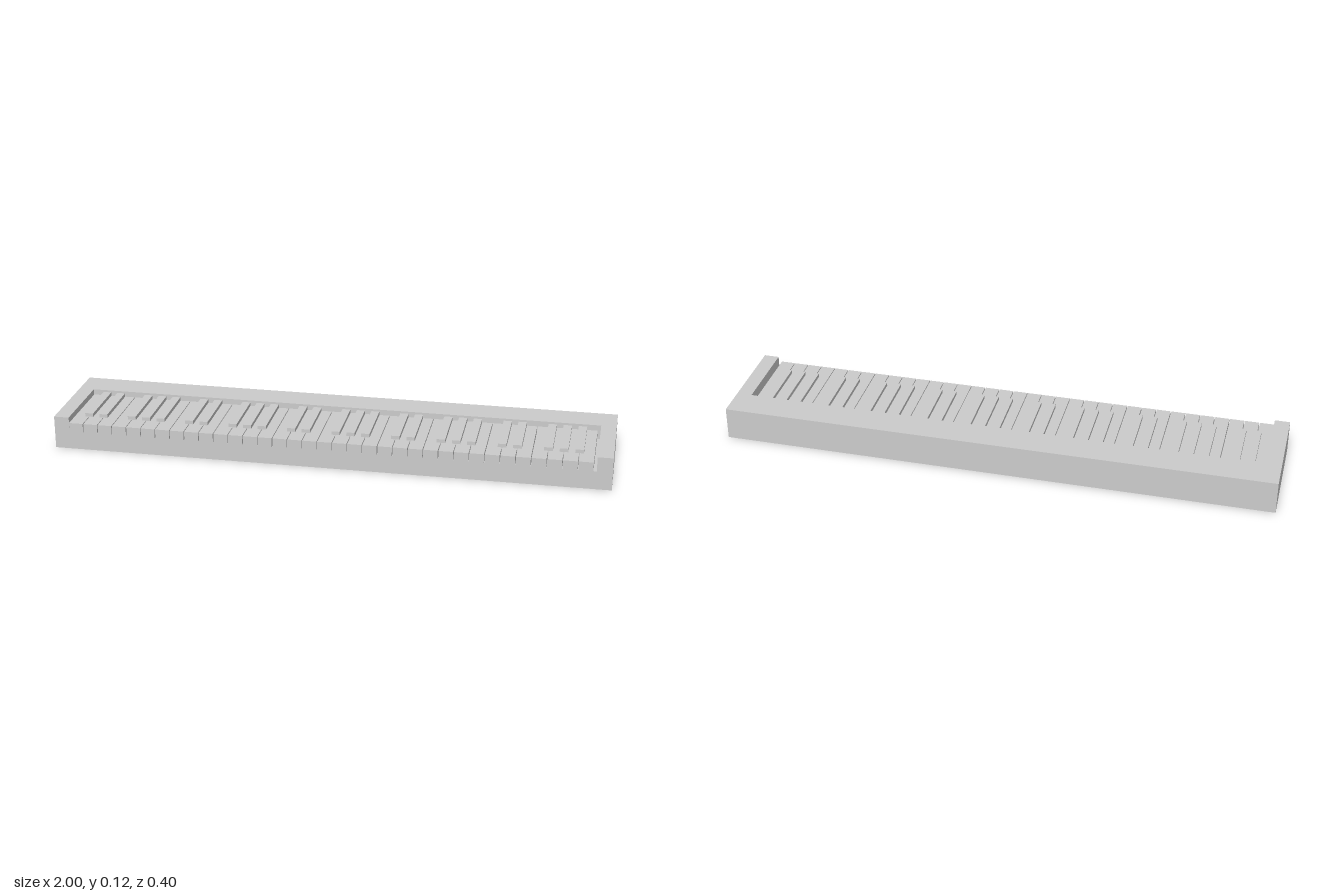
import * as THREE from 'three';

const material = new THREE.MeshStandardMaterial({ color: 0xcccccc });

// Box given by its minimum and maximum corners
function box(name, [x0, y0, z0], [x1, y1, z1]) {
  const mesh = new THREE.Mesh(new THREE.BoxGeometry(x1 - x0, y1 - y0, z1 - z0), material);
  mesh.position.set((x0 + x1) / 2, (y0 + y1) / 2, (z0 + z1) / 2);
  mesh.name = name;
  return mesh;
}

export function createModel() {
  const group = new THREE.Group();
  group.name = 'keyboard';
  const floor = 0.067, top = 0.12, recessX = 0.945, recessBack = -0.085;

  // Case: solid base with a U-shaped rim open to the front
  group.add(box('caseBase', [-1, 0, -0.2], [1, floor, 0.2]));
  const plan = new THREE.Shape([
    [-1, -0.2], [-recessX, -0.2], [-recessX, -recessBack], [recessX, -recessBack],
    [recessX, -0.2], [1, -0.2], [1, 0.2], [-1, 0.2],
  ].map(([x, y]) => new THREE.Vector2(x, y)));
  const rimGeometry = new THREE.ExtrudeGeometry(plan, { depth: top - floor, bevelEnabled: false });
  rimGeometry.rotateX(-Math.PI / 2);
  const rim = new THREE.Mesh(rimGeometry, material);
  rim.name = 'caseRim';
  rim.position.y = floor;
  group.add(rim);

  // Keys: five octaves, with short keys over the seams of the long ones
  const whiteKeys = new THREE.Group();
  whiteKeys.name = 'whiteKeys';
  const blackKeys = new THREE.Group();
  blackKeys.name = 'blackKeys';
  group.add(whiteKeys, blackKeys);

  const count = 35, startX = -0.944, pitch = 1.88 / count, gap = 0.0025;
  const keyBack = -0.083, keyTop = 0.1;
  for (let i = 0; i < count; i++) {
    const x = startX + i * pitch;
    whiteKeys.add(box('whiteKey', [x, floor, keyBack], [x + pitch - gap, keyTop, 0.202]));
    if ([0, 1, 3, 4, 5].includes(i % 7)) {
      const seam = x + pitch - gap / 2;
      blackKeys.add(box('blackKey', [seam - 0.015, floor, keyBack], [seam + 0.015, 0.113, 0.13]));
    }
  }
  return group;
}
